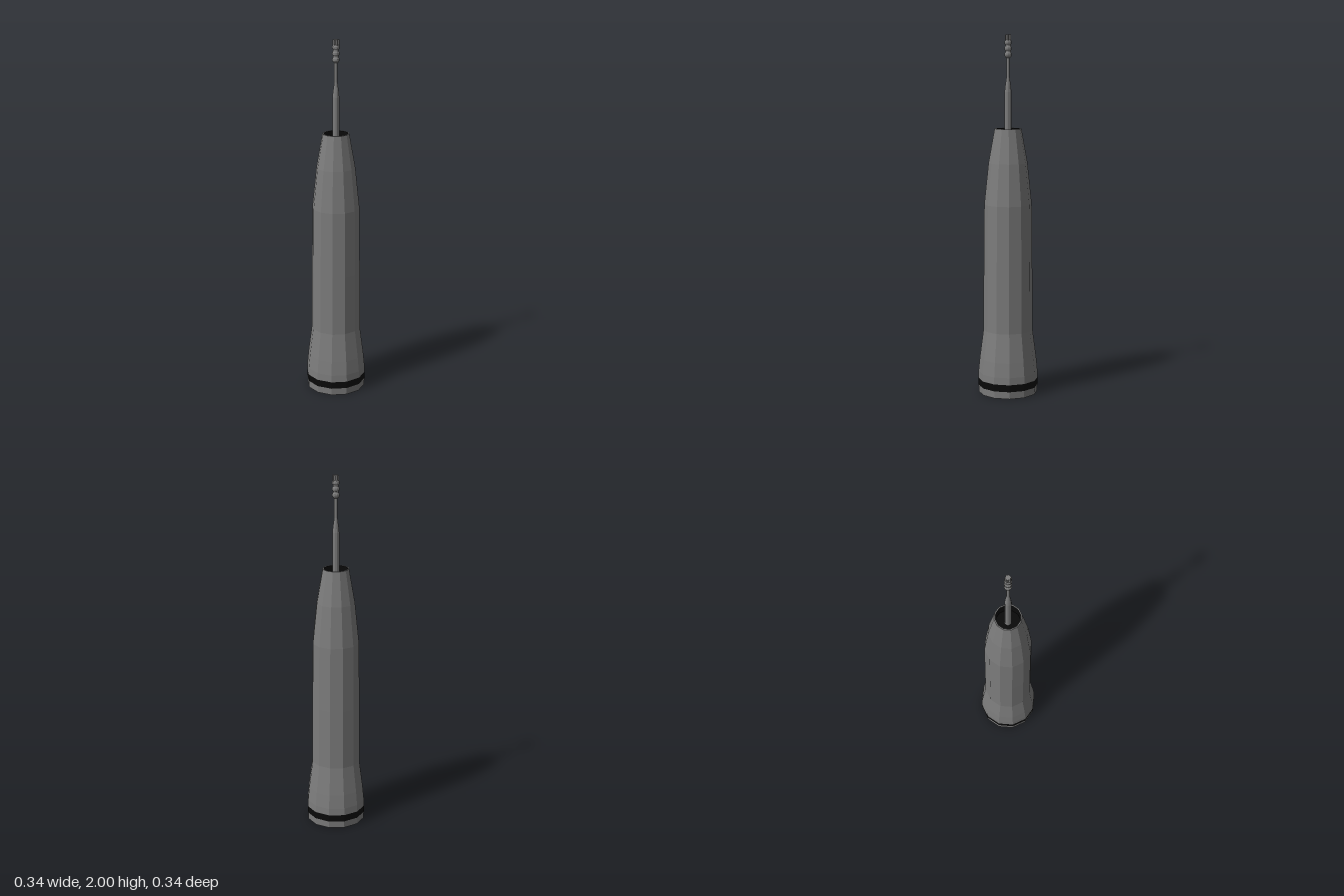
import * as THREE from 'three';

export function createModel() {
  const group = new THREE.Group();
  group.name = 'screwdriver';

  const grey = new THREE.MeshStandardMaterial({ color: 0x7c7c7c });
  grey.name = 'grey';
  const black = new THREE.MeshStandardMaterial({ color: 0x0a0a0a });
  black.name = 'black';

  const add = (name, geometry, material) => {
    const mesh = new THREE.Mesh(geometry, material);
    mesh.name = name;
    group.add(mesh);
    return mesh;
  };

  // Faceted solid of revolution from [radius, height] pairs, bottom to top
  const turned = (name, profile, sides, material) => {
    const points = profile.map(([r, y]) => new THREE.Vector2(r, y));
    const geometry = new THREE.LatheGeometry(points, sides).toNonIndexed();
    geometry.computeVertexNormals();
    return add(name, geometry, material);
  };

  // Handle: closed end cap, dark band, tapering grip with a thin rim
  turned('endCap', [[0, 0], [0.165, 0], [0.167, 0.04]], 12, grey);
  turned('band', [[0.167, 0.04], [0.168, 0.08]], 12, black);
  turned('grip', [
    [0.168, 0.08], [0.167, 0.12], [0.159, 0.2], [0.138, 0.36],
    [0.136, 0.7], [0.132, 1.07], [0.108, 1.3], [0.074, 1.49], [0.067, 1.49],
  ], 12, grey);
  turned('socket', [[0.067, 1.49], [0.067, 1.42], [0, 1.42]], 12, black);

  // Slim shaft narrowing to a neck
  turned('shaft', [
    [0.019, 1.42], [0.019, 1.69], [0.016, 1.72], [0.009, 1.77], [0.009, 1.885],
  ], 12, grey);

  // Ribbed collar below the bit
  const ribs = [[0.009, 1.875]];
  for (let i = 0; i < 3; i++) {
    const y = 1.88 + i * 0.033;
    ribs.push([0.015, y], [0.02, y + 0.008], [0.02, y + 0.018], [0.015, y + 0.026]);
  }
  ribs.push([0, 1.975]);
  turned('collar', ribs, 12, grey);

  // Six-pointed bit
  const star = new THREE.Shape();
  for (let i = 0; i < 12; i++) {
    const r = i % 2 ? 0.012 : 0.018;
    const a = Math.PI / 2 + (i * Math.PI) / 6;
    star[i ? 'lineTo' : 'moveTo'](r * Math.cos(a), r * Math.sin(a));
  }
  star.closePath();
  const bit = new THREE.ExtrudeGeometry(star, { depth: 0.04, bevelEnabled: false });
  bit.rotateX(-Math.PI / 2).translate(0, 1.96, 0);
  add('bit', bit, grey);

  return group;
}
